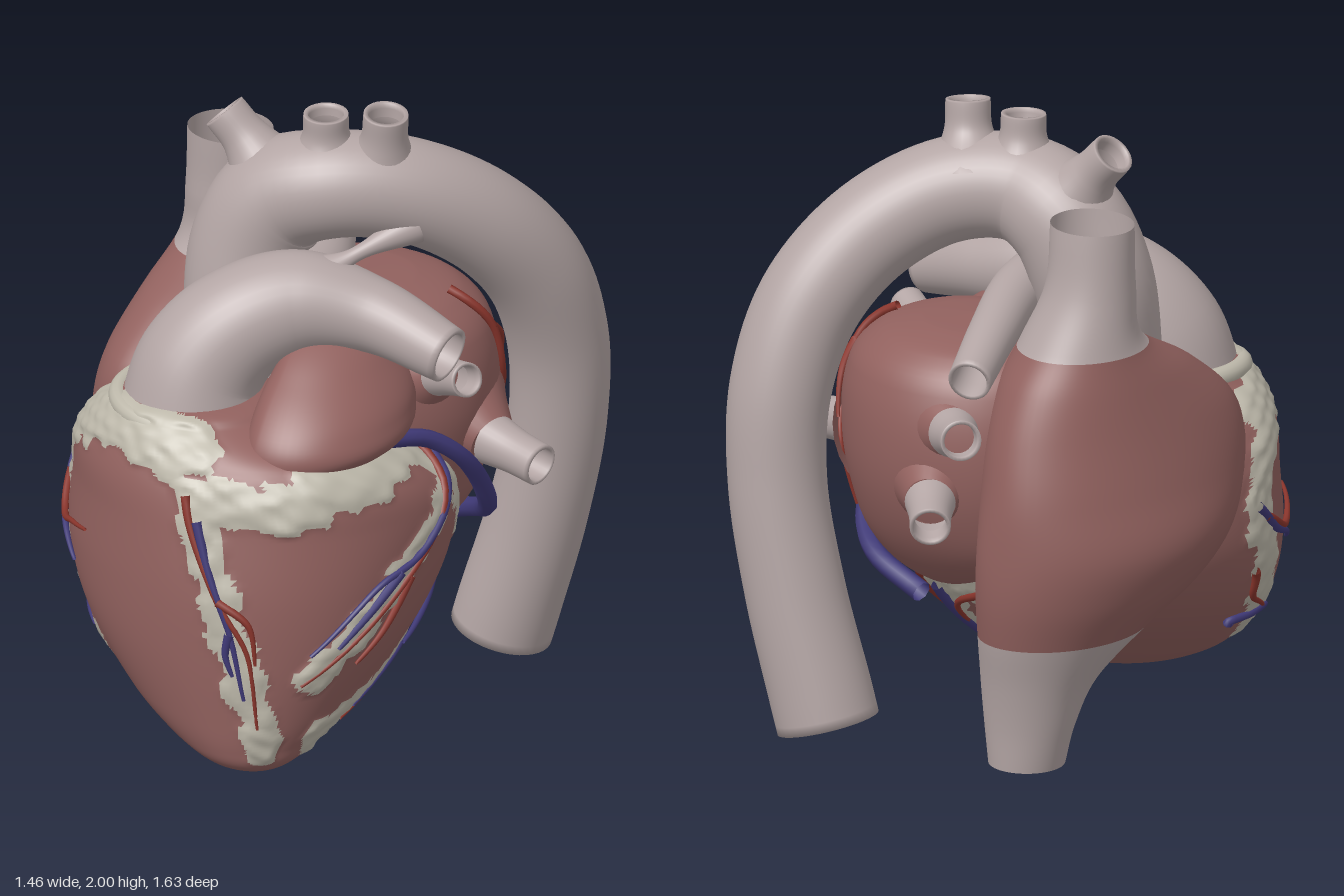
import * as THREE from 'three';

const { clamp, lerp, smoothstep } = THREE.MathUtils;
const mat = (color) => new THREE.MeshStandardMaterial({ color, side: THREE.DoubleSide });
const muscle = mat(0x91615e), fat = mat(0xbdb8aa), vessel = mat(0xb3a5a4), artery = mat(0x8a352c), vein = mat(0x403a78);
const V = (a) => (a.isVector3 ? a : new THREE.Vector3(...a));
const wave = (p) => Math.sin(p.x * 31 + p.y * 17) * Math.sin(p.y * 37 - p.z * 13) * Math.sin(p.z * 29 + p.x * 11 + 1);

// Smooth interpolation of a section row at height y: [y, cx, cz, xMin, xMax, zMin, zMax]
function rowAt(rows, y) {
  const n = rows.length;
  let i = 0;
  while (i < n - 2 && y > rows[i + 1][0]) i++;
  const slope = (j, k) => {
    const a = rows[Math.max(j - 1, 0)], b = rows[Math.min(j + 1, n - 1)];
    return (b[k] - a[k]) / (b[0] - a[0]);
  };
  const h = rows[i + 1][0] - rows[i][0], t = clamp((y - rows[i][0]) / h, 0, 1), t2 = t * t, t3 = t2 * t;
  return rows[i].map((v, k) => (2 * t3 - 3 * t2 + 1) * v + (t3 - 2 * t2 + t) * h * slope(i, k)
    + (3 * t2 - 2 * t3) * rows[i + 1][k] + (t3 - t2) * h * slope(i + 1, k));
}
function pointAt(rows, y, a) {
  const [, cx, cz, x0, x1, z0, z1] = rowAt(rows, y), c = Math.cos(a), s = Math.sin(a);
  return new THREE.Vector3(cx + c * (c > 0 ? x1 - cx : cx - x0), y, cz + s * (s > 0 ? z1 - cz : cz - z0));
}

// Points on a body's surface, found from its front or back (x, y) or its left side (z, y)
const unit = (v, c, lo, hi) => clamp((v - c) / (v > c ? hi - c : c - lo), -1, 1);
const onFront = (rows, x, y, sign = 1) => {
  const r = rowAt(rows, y);
  return pointAt(rows, y, sign * Math.acos(unit(x, r[1], r[3], r[4])));
};
const onSide = (rows, z, y) => {
  const r = rowAt(rows, y);
  return pointAt(rows, y, Math.asin(unit(z, r[2], r[5], r[6])));
};
// Curve drawn in a view plane and projected onto the surface
const trace = (project, pts, n = 12) => new THREE.SplineCurve(pts.map((p) => new THREE.Vector2(...p)))
  .getPoints(n).map((p) => project(p.x, p.y));

// Body lofted through rows; 'second' picks the faces of the second material, 'lift' swells the skin
function body(names, rows, { segs = 64, steps = 6, second, mats = [muscle], lift } = {}) {
  const ys = rows.slice(1).flatMap((r, i) => Array.from({ length: steps }, (_, k) => lerp(rows[i][0], r[0], k / steps)));
  ys.push(rows.at(-1)[0]);
  const pts = [], lists = [[], []];
  ys.forEach((y) => {
    const mid = rowAt(rows, y);
    for (let j = 0; j < segs; j++) {
      const p = pointAt(rows, y, j / segs * Math.PI * 2);
      const out = new THREE.Vector3(p.x - mid[1], 0, p.z - mid[2]).normalize();
      pts.push(lift ? p.addScaledVector(out, lift(p)) : p);
    }
  });
  const face = (a, b, c) => {
    const m = pts[a].clone().add(pts[b]).add(pts[c]).divideScalar(3);
    lists[second && second(m) ? 1 : 0].push(a, b, c);
  };
  for (let i = 0; i < ys.length - 1; i++) for (let j = 0; j < segs; j++) {
    const k = (j + 1) % segs, a = i * segs + j, b = i * segs + k;
    face(a, a + segs, b);
    face(b, a + segs, b + segs);
  }
  const geo = new THREE.BufferGeometry().setFromPoints(pts).setIndex(lists.flat());
  geo.computeVertexNormals();
  return names.map((name, i) => {
    const mesh = new THREE.Mesh(geo.clone().setIndex(lists[i]), mats[i]);
    mesh.name = name;
    return mesh;
  });
}

// Tube of varying radius; 'lip' folds the open end inward as a wall
function tube(name, path, radii, material = vessel, { n = 40, segs = 28, lip = true } = {}) {
  const curve = new THREE.CatmullRomCurve3(path.map(V));
  const size = new THREE.CatmullRomCurve3(radii.map((r, i) => new THREE.Vector3(r, i, 0)), false, 'catmullrom');
  const { normals, binormals } = curve.computeFrenetFrames(n, false);
  const pts = [], index = [];
  const ring = (i, k) => {
    const t = curve.getUtoTmapping(i / n), c = curve.getPoint(t), r = size.getPoint(t).x * k;
    for (let j = 0; j < segs; j++) {
      const a = j / segs * Math.PI * 2;
      pts.push(c.clone().addScaledVector(normals[i], r * Math.cos(a)).addScaledVector(binormals[i], r * Math.sin(a)));
    }
  };
  for (let i = 0; i <= n; i++) ring(i, 1);
  if (lip) [[n, 0.82], [n - 3, 0.8], [n - 8, 0.75]].forEach((r) => ring(...r));
  for (let i = 0; i < pts.length / segs - 1; i++) for (let j = 0; j < segs; j++) {
    const k = (j + 1) % segs, a = i * segs + j, b = i * segs + k;
    index.push(a, b, a + segs, b, b + segs, a + segs);
  }
  const geo = new THREE.BufferGeometry().setFromPoints(pts).setIndex(index);
  geo.computeVertexNormals();
  const mesh = new THREE.Mesh(geo, material);
  mesh.name = name;
  return mesh;
}

const VENTRICLES = [[0.008, 0.25, 0.62, 0.25, 0.25, 0.62, 0.62],
  [0.014, 0.25, 0.61, 0.17, 0.33, 0.53, 0.68], [0.045, 0.23, 0.58, 0.07, 0.39, 0.4, 0.74],
  [0.1, 0.2, 0.54, -0.08, 0.42, 0.25, 0.77], [0.2, 0.15, 0.47, -0.27, 0.47, 0.02, 0.79],
  [0.4, 0.08, 0.36, -0.5, 0.55, -0.24, 0.81], [0.6, 0.05, 0.27, -0.61, 0.59, -0.36, 0.81],
  [0.8, 0, 0.2, -0.62, 0.6, -0.3, 0.79], [0.92, -0.05, 0.27, -0.57, 0.56, -0.15, 0.77],
  [1.02, -0.08, 0.38, -0.47, 0.44, 0.05, 0.73], [1.1, -0.1, 0.42, -0.37, 0.2, 0.17, 0.68],
  [1.14, -0.1, 0.43, -0.3, 0.1, 0.25, 0.62], [1.15, -0.1, 0.43, -0.1, -0.1, 0.43, 0.43]];
const RIGHT_ATRIUM = [
  [0.02, -0.35, -0.33, -0.47, -0.23, -0.45, -0.21], [0.15, -0.35, -0.32, -0.5, -0.21, -0.46, -0.18],
  [0.3, -0.37, -0.3, -0.54, -0.19, -0.48, -0.1], [0.45, -0.39, -0.22, -0.61, -0.17, -0.51, 0.08],
  [0.6, -0.4, -0.12, -0.69, -0.15, -0.53, 0.28], [0.75, -0.4, -0.06, -0.73, -0.15, -0.53, 0.4],
  [0.92, -0.42, -0.05, -0.69, -0.12, -0.51, 0.45], [1.1, -0.4, -0.06, -0.64, -0.12, -0.47, 0.43],
  [1.25, -0.39, -0.1, -0.6, -0.13, -0.41, 0.27], [1.38, -0.39, -0.13, -0.565, -0.19, -0.33, 0.06],
  [1.55, -0.395, -0.11, -0.54, -0.25, -0.25, 0.03], [1.75, -0.385, -0.09, -0.525, -0.245, -0.22, 0.03]];
const LEFT_ATRIUM = [[0.48, 0.1, -0.22, 0.1, 0.1, -0.22, -0.22],
  [0.5, 0.1, -0.22, -0.05, 0.25, -0.34, -0.1], [0.62, 0.08, -0.22, -0.28, 0.4, -0.48, 0],
  [0.8, 0.05, -0.22, -0.36, 0.46, -0.57, 0.1], [1, 0.05, -0.2, -0.38, 0.5, -0.6, 0.15],
  [1.2, 0.08, -0.2, -0.34, 0.47, -0.57, 0.14], [1.3, 0.08, -0.2, -0.26, 0.38, -0.49, 0.08],
  [1.345, 0.07, -0.19, -0.12, 0.24, -0.36, -0.04], [1.355, 0.07, -0.19, 0.07, 0.07, -0.19, -0.19]];
const LEFT_AURICLE = [[0.92, 0.2, 0.46, 0.2, 0.2, 0.46, 0.46],
  [0.93, 0.2, 0.45, 0.15, 0.26, 0.37, 0.54], [1, 0.25, 0.3, 0.11, 0.49, 0, 0.59],
  [1.1, 0.25, 0.25, 0.1, 0.5, -0.1, 0.56], [1.22, 0.22, 0.18, 0.1, 0.41, -0.12, 0.43],
  [1.33, 0.18, 0.08, 0.12, 0.28, -0.08, 0.23], [1.34, 0.19, 0.08, 0.19, 0.19, 0.08, 0.08]];

export function createModel() {
  const model = new THREE.Group();
  const F = (x, y) => onFront(VENTRICLES, x, y), B = (x, y) => onFront(VENTRICLES, x, y, -1);
  const S = (z, y) => onSide(VENTRICLES, z, y), A = (z, y) => onSide(LEFT_ATRIUM, z, y);
  // Fat follows the grooves between the chambers
  const bands = [[0.065, F, [[0.12, 0.95], [0.2, 0.75], [0.32, 0.4], [0.37, 0.12]]],
    [0.075, F, [[0.13, 0.93], [0.28, 0.92], [0.46, 0.92]]],
    [0.1, F, [[-0.45, 1], [-0.2, 1.08], [0.08, 1.05]]],
    [0.08, F, [[-0.48, 0.95], [-0.57, 0.8], [-0.57, 0.6], [-0.45, 0.38], [-0.3, 0.28]]],
    [0.1, S, [[0.5, 0.98], [0.1, 0.96], [-0.1, 0.8], [-0.28, 0.58]]],
    [0.06, S, [[0, 0.83], [0.25, 0.65], [0.58, 0.36]]], [0.08, S, [[-0.28, 0.5], [0.1, 0.25], [0.5, 0.13]]],
    [0.09, B, [[0.1, 0.5], [0.12, 0.3], [0.2, 0.12]]], [0.09, B, [[0.35, 0.58], [0.05, 0.5], [-0.3, 0.55]]],
  ].map(([w, on, p]) => [w, trace(on, p, 24)]);
  const depth = (p) => Math.max(...bands.map(([w, pts]) => 1 - Math.min(...pts.map((q) => q.distanceTo(p))) / w)) + 0.45 * wave(p);
  model.add(...body(['ventricleMuscle', 'ventricleFat'], VENTRICLES, {
    segs: 180, steps: 11, mats: [muscle, fat], second: (p) => depth(p) > 0,
    lift: (p) => 0.012 * smoothstep(depth(p), -0.2, 0.5) * (1 + 0.5 * wave(p.clone().multiplyScalar(1.7))),
  }));
  // Atria, with the great veins running into the right one
  model.add(...body(['rightAtrium', 'greatVeins'], RIGHT_ATRIUM,
    { mats: [muscle, vessel], second: (p) => p.y > 1.36 || p.y < 0.45 }));
  model.add(...body(['leftAtrium'], LEFT_ATRIUM), ...body(['leftAuricle'], LEFT_AURICLE, { steps: 8 }));
  // Aorta and its arch branches
  model.add(tube('aorta', [[-0.1, 0.95, 0.2], [-0.15, 1.2, 0.15], [-0.16, 1.48, 0.09], [-0.08, 1.65, 0.05],
    [0.08, 1.72, 0], [0.25, 1.7, -0.15], [0.39, 1.57, -0.35], [0.465, 1.36, -0.53], [0.48, 1.1, -0.635],
    [0.46, 0.8, -0.665], [0.39, 0.45, -0.65], [0.31, 0.15, -0.62], [0.28, 0.04, -0.61]],
  [0.18, 0.18, 0.19, 0.185, 0.17, 0.165, 0.165, 0.165, 0.16, 0.155, 0.158, 0.162, 0.162], vessel, { n: 100, segs: 40 }));
  [[[-0.1, 1.7, 0.05], [-0.19, 1.82, 0.07], [-0.265, 1.905, 0.09]],
    [[0.07, 1.78, 0], [0.072, 1.88, 0.005], [0.075, 1.965, 0.01]],
    [[0.2, 1.76, -0.1], [0.235, 1.88, -0.08], [0.25, 1.985, -0.07]]]
    .forEach((p) => model.add(tube('archBranch', p, [0.15, 0.08, 0.07])));
  // Pulmonary trunk with its two arteries, the ligament and the root collar
  model.add(tube('pulmonaryTrunk', [[-0.12, 1.03, 0.44], [-0.1, 1.2, 0.41], [-0.02, 1.33, 0.33], [0.12, 1.4, 0.2],
    [0.33, 1.38, 0.1], [0.61, 1.31, 0.07]], [0.23, 0.205, 0.185, 0.165, 0.12, 0.09], vessel, { n: 60, segs: 36 }));
  model.add(tube('rightPulmonaryArtery', [[0.12, 1.4, 0.2], [0.02, 1.41, -0.05], [-0.15, 1.37, -0.3], [-0.3, 1.3, -0.52]],
    [0.12, 0.09, 0.078, 0.068]));
  model.add(tube('arterialLigament', [[0.16, 1.48, 0.16], [0.24, 1.55, 0.08], [0.34, 1.62, -0.1]], [0.08, 0.024, 0.06], vessel, { lip: false }));
  const collar = new THREE.Mesh(new THREE.TorusGeometry(0.225, 0.032, 14, 60), fat);
  collar.name = 'pulmonaryRootCollar';
  collar.position.set(-0.12, 1.085, 0.44);
  collar.rotation.set(Math.PI / 2, -0.1, 0);
  model.add(collar);
  // Pulmonary veins: a flared root on the atrium and an open end
  [[[0.25, 1.08, -0.14], [0.47, 1.16, -0.06], [0.62, 1.2, -0.01], 0.055],
    [[0.3, 0.95, -0.3], [0.52, 0.88, -0.26], [0.72, 0.85, -0.25], 0.067],
    [[-0.02, 1.08, -0.38], [-0.2, 1.1, -0.5], [-0.32, 1.12, -0.57], 0.064],
    [[0, 0.92, -0.38], [-0.17, 0.88, -0.57], [-0.29, 0.85, -0.67], 0.064]].forEach(([a, b, c, r]) => {
    model.add(tube('pulmonaryVeinRoot', [a, V(a).clone().lerp(V(b), 0.5), b], [0.24, 0.15, r * 1.25], muscle, { n: 20, lip: false }));
    model.add(tube('pulmonaryVeinEnd', [b, V(b).clone().lerp(V(c), 0.5), c], [r * 1.25, r * 1.05, r], vessel, { n: 20 }));
  });
  // Coronary vessels laid on the surface, tapering to their tips
  const centre = new THREE.Vector3(0.05, 0.6, 0.2);
  const twig = (name, material, r, pts, taper = 0.65) => {
    const path = pts.map((p) => p.clone().addScaledVector(p.clone().sub(centre).normalize(), 0.012));
    model.add(tube(name, path, path.map((_, i) => r * (1 - taper * i / (path.length - 1))), material, { n: 28, segs: 8, lip: false }));
  };
  twig('greatCardiacVein', vein, 0.034, [[0.1, 0.47, -0.37], [0.3, 0.54, -0.38], [0.43, 0.6, -0.32], [0.5, 0.68, -0.24],
    [0.53, 0.8, -0.15], [0.53, 0.9, -0.06], [0.49, 0.98, 0.05], [0.45, 1.01, 0.18]].map(V), 0.2);
  twig('middleCardiacVein', vein, 0.022, trace(B, [[0.1, 0.48], [0.13, 0.3], [0.2, 0.13]]));
  [[F, [[0.16, 0.86], [0.21, 0.72], [0.29, 0.52], [0.33, 0.3]]], [F, [[0.29, 0.52], [0.28, 0.45], [0.3, 0.38]]],
    [S, [[-0.05, 0.88], [0.2, 0.69], [0.4, 0.62], [0.6, 0.44]]], [S, [[0.3, 0.65], [0.45, 0.52], [0.52, 0.45]]],
    [S, [[-0.3, 0.55], [-0.08, 0.34], [0.1, 0.28], [0.35, 0.18]]], [S, [[-0.2, 0.45], [0, 0.37], [0.15, 0.33]]],
    [F, [[-0.59, 0.76], [-0.55, 0.66], [-0.46, 0.6], [-0.38, 0.55]]], [F, [[-0.5, 0.35], [-0.42, 0.36], [-0.34, 0.33]]]]
    .forEach(([on, p]) => twig('cardiacVein', vein, 0.017, trace(on, p)));
  [[F, [[0.11, 0.93], [0.15, 0.82], [0.25, 0.62], [0.34, 0.45], [0.36, 0.2]]], [F, [[0.25, 0.62], [0.34, 0.55], [0.36, 0.42]]],
    [S, [[-0.02, 0.92], [0.12, 0.74], [0.35, 0.55], [0.62, 0.34]]], [S, [[0.25, 0.62], [0.35, 0.47], [0.45, 0.38]]],
    [S, [[-0.3, 0.5], [-0.05, 0.29], [0.15, 0.22], [0.4, 0.15]]], [B, [[-0.1, 0.5], [0.08, 0.4], [0.16, 0.18]]],
    [F, [[-0.58, 0.72], [-0.5, 0.64], [-0.4, 0.67], [-0.3, 0.69]]], [F, [[-0.58, 0.55], [-0.52, 0.44], [-0.4, 0.35]]],
    [A, [[-0.28, 1.32], [-0.36, 1.2], [-0.4, 1.05], [-0.46, 0.9], [-0.42, 0.7]]], [A, [[-0.36, 1.2], [-0.45, 1.12], [-0.5, 1]]]]
    .forEach(([on, p]) => twig('coronaryArtery', artery, 0.015, trace(on, p)));
  return model;
}
